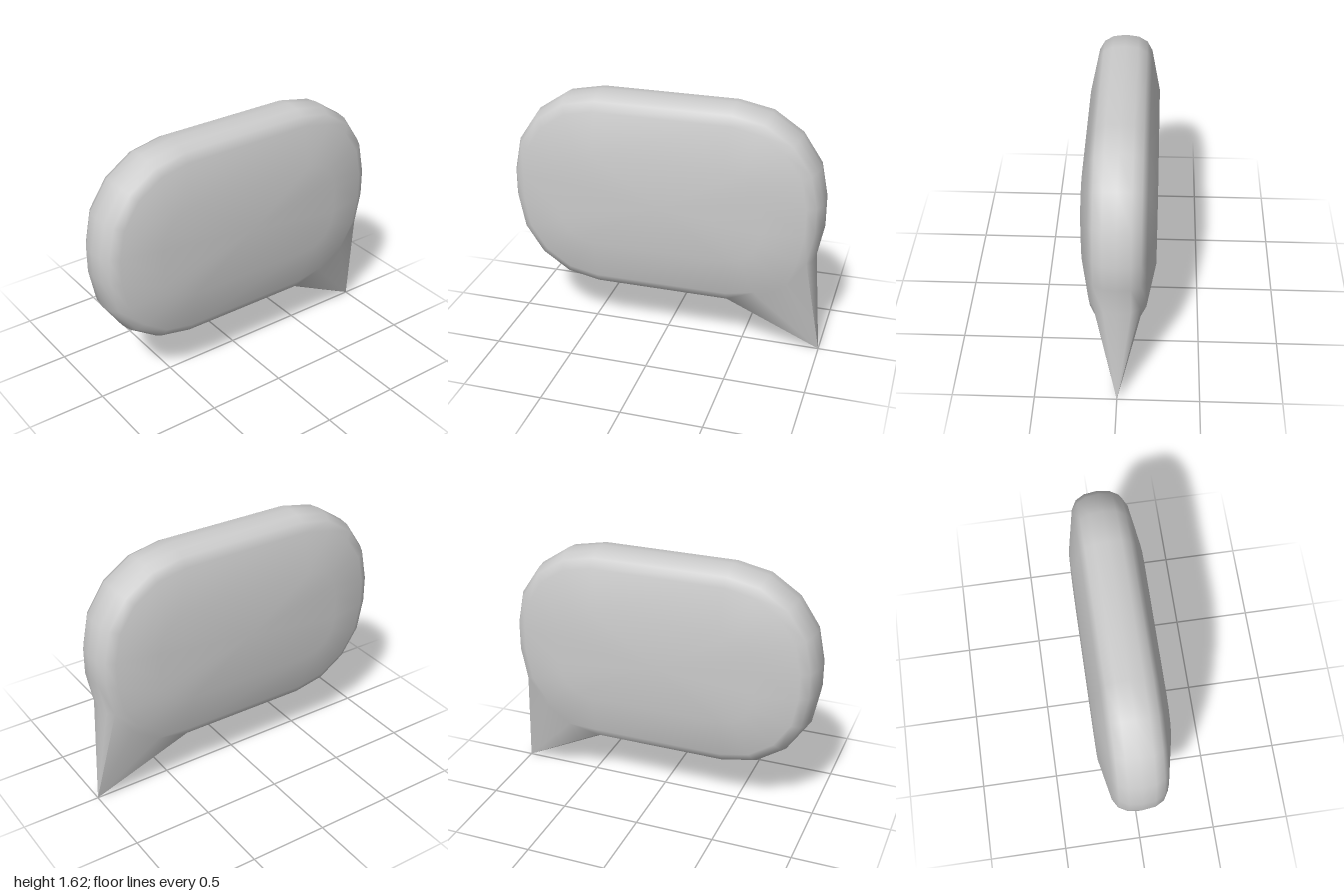
import * as THREE from 'three';

const RADIUS = 0.57, STEPS = 4;
// Rim profile from back to front: [z, inset from the outline]
const half = [[0.08, 0.01], [0.135, 0.04], [0.167, 0.095], [0.22, 0.35]];
const PROFILE = [...half.map(([z, d]) => [-z, d]).reverse(), [0, 0], ...half];

// Rounded-rectangle outline, counter-clockwise from the lower right corner
function outline(inset) {
  const points = [];
  [[1, -1], [1, 1], [-1, 1], [-1, -1]].forEach(([sx, sy], corner) => {
    for (let s = 0; s <= STEPS; s++) {
      const a = (corner - 1 + s / STEPS) * Math.PI / 2;
      points.push([
        -0.005 + sx * 0.425 + (RADIUS - inset) * Math.cos(a),
        0.9625 + sy * 0.0825 + (RADIUS - inset) * Math.sin(a),
      ]);
    }
  });
  return points;
}

export function createModel() {
  const positions = [], index = [];
  const add = (x, y, z) => positions.push(x, y, z) / 3 - 1;

  const rings = PROFILE.map(([z, inset]) => outline(inset).map(([x, y]) => add(x, y, z)));
  const n = rings[0].length, last = rings.length - 1;

  // The tail replaces this patch of the lower right corner
  const tailCols = 3, tailFrom = 2, tailTo = 6;

  // Rounded rim
  for (let j = 0; j < last; j++) {
    for (let i = 0; i < n; i++) {
      if (i < tailCols && j >= tailFrom && j < tailTo) continue;
      const k = (i + 1) % n;
      const a = rings[j][i], b = rings[j][k], c = rings[j + 1][k], d = rings[j + 1][i];
      index.push(a, b, c, a, c, d);
    }
  }

  // Flat back and front faces
  const back = add(-0.005, 0.9625, PROFILE[0][0]);
  const front = add(-0.005, 0.9625, PROFILE[last][0]);
  for (let i = 0; i < n; i++) {
    const k = (i + 1) % n;
    index.push(back, rings[0][k], rings[0][i], front, rings[last][i], rings[last][k]);
  }

  // Tail: four sides drawn to a point, each with its own tip for a sharp end
  const [backTip, outerTip, frontTip, underTip] = [0, 1, 2, 3].map(() => add(1, 0, 0));
  for (let i = 0; i < tailCols; i++) {
    index.push(rings[tailFrom][i], rings[tailFrom][i + 1], backTip);
    index.push(rings[tailTo][i + 1], rings[tailTo][i], frontTip);
  }
  for (let j = tailFrom; j < tailTo; j++) {
    index.push(rings[j][tailCols], rings[j + 1][tailCols], outerTip);
    index.push(rings[j + 1][0], rings[j][0], underTip);
  }

  const geometry = new THREE.BufferGeometry();
  geometry.setAttribute('position', new THREE.Float32BufferAttribute(positions, 3));
  geometry.setIndex(index);
  geometry.computeVertexNormals();

  const bubble = new THREE.Mesh(geometry, new THREE.MeshStandardMaterial({ color: 0xcccccc }));
  bubble.name = 'speechBubble';
  const group = new THREE.Group();
  group.add(bubble);
  return group;
}
